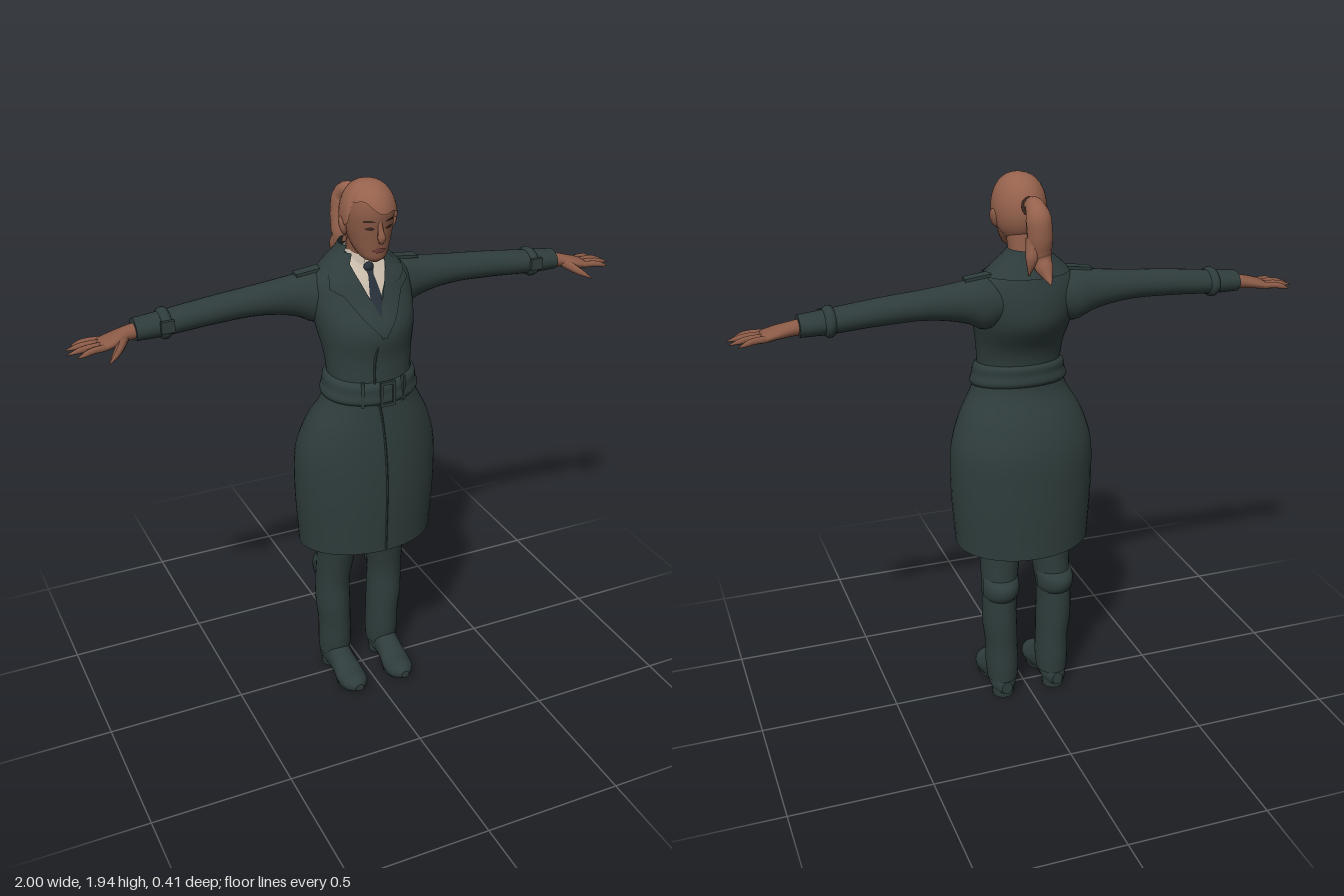
import * as THREE from 'three';

const mat = (name, color, side = THREE.DoubleSide) => new THREE.MeshStandardMaterial({ name, color, side });

// Smooth interpolation through sections [t, centreU, centreV, radiusU, radiusV]
function sampler(sections) {
  const it = new THREE.CubicInterpolant(sections.map(s => s[0]), sections.flatMap(s => s.slice(1)), 4, new Float32Array(4));
  return t => Array.from(it.evaluate(t));
}

const PLACE = {
  y: (t, u, v) => [v, t, u],
  x: (t, u, v) => [t, u, v],
  z: (t, u, v) => [u, v, t],
};

// Elliptical cross-sections joined along an axis, optionally only part way round
function loft(axis, sections, { steps = 24, sides = 28, start = 0, arc = Math.PI * 2, caps = false, rule } = {}) {
  const at = sampler(sections), t0 = sections[0][0], t1 = sections.at(-1)[0];
  const full = arc > 6.28, n = full ? sides : sides + 1, pos = [], idx = [];
  const put = (t, u, v) => {
    const p = new THREE.Vector3(...PLACE[axis](t, u, v));
    if (rule) rule(p);
    pos.push(p.x, p.y, p.z);
  };
  const ring = t => {
    const [cu, cv, ru, rv] = at(t);
    for (let j = 0; j < n; j++) {
      const a = start + arc * j / sides;
      put(t, cu + ru * Math.cos(a), cv + rv * Math.sin(a));
    }
  };
  for (let i = 0; i <= steps; i++) ring(t0 + (t1 - t0) * i / steps);
  for (let i = 0; i < steps; i++) for (let j = 0; j < sides; j++) {
    const k = (j + 1) % n, a = i * n + j, b = i * n + k;
    idx.push(a, b, b + n, a, b + n, a + n);
  }
  if (caps) [t0, t1].forEach((t, e) => {
    const base = pos.length / 3, [cu, cv] = at(t);
    ring(t);
    put(t, cu, cv);
    for (let j = 0; j < n; j++) {
      const a = base + j, b = base + (j + 1) % n;
      e ? idx.push(a, b, base + n) : idx.push(b, a, base + n);
    }
  });
  return build(pos, idx);
}

function build(pos, idx) {
  const g = new THREE.BufferGeometry();
  g.setAttribute('position', new THREE.Float32BufferAttribute(pos, 3));
  g.setIndex(idx);
  g.computeVertexNormals();
  return g;
}

// Tube whose thickness changes along its path
function sweep(points, radii, seg = 20, sides = 10) {
  const path = new THREE.CatmullRomCurve3(points.map(p => new THREE.Vector3(...p)));
  const g = new THREE.TubeGeometry(path, seg, 1, sides), p = g.attributes.position, v = new THREE.Vector3();
  for (let i = 0; i < p.count; i++) {
    const t = Math.floor(i / (sides + 1)) / seg, c = path.getPointAt(t);
    const f = t * (radii.length - 1), k = Math.min(Math.floor(f), radii.length - 2);
    const r = THREE.MathUtils.lerp(radii[k], radii[k + 1], f - k);
    v.fromBufferAttribute(p, i).sub(c).multiplyScalar(r).add(c);
    p.setXYZ(i, v.x, v.y, v.z);
  }
  g.computeVertexNormals();
  return g;
}

const COAT = [
  [0.62, 0.02, 0, 0.185, 0.246], [0.85, 0.0225, 0, 0.188, 0.26], [1.0, 0.025, 0, 0.18, 0.254],
  [1.1, 0.037, 0, 0.158, 0.222], [1.2, 0.055, 0, 0.125, 0.168], [1.27, 0.055, 0, 0.118, 0.15],
  [1.35, 0.045, 0, 0.122, 0.154], [1.46, 0.015, 0, 0.155, 0.172], [1.55, -0.015, 0, 0.125, 0.18],
  [1.61, -0.025, 0, 0.1, 0.165], [1.65, -0.033, 0, 0.08, 0.115], [1.69, -0.035, 0, 0.062, 0.07],
];
const coatAt = sampler(COAT);
const frontZ = (x, y) => {
  const [zc, , rz, rx] = coatAt(y);
  return zc + rz * Math.sqrt(Math.max(0, 1 - (x / rx) ** 2));
};

// Cloth piece laid on the coat front; rows are [y, x0, x1] from top to bottom
function patch(rows, off, surface = frontZ) {
  const pos = [], idx = [], cols = 6, sub = 4;
  const total = (rows.length - 1) * sub;
  for (let i = 0; i <= total; i++) {
    const k = Math.min(Math.floor(i / sub), rows.length - 2), f = i / sub - k;
    const [y, x0, x1] = rows[k].map((v, j) => THREE.MathUtils.lerp(v, rows[k + 1][j], f));
    for (let j = 0; j <= cols; j++) {
      const x = THREE.MathUtils.lerp(x0, x1, j / cols);
      pos.push(x, y, surface(x, y) + off);
    }
  }
  const w = cols + 1;
  for (let i = 0; i < total; i++) for (let j = 0; j < cols; j++) {
    const a = i * w + j;
    idx.push(a, a + w, a + 1, a + 1, a + w, a + w + 1);
  }
  return build(pos, idx);
}

export function createModel() {
  const cloth = mat('dark green cloth', 0x2e3c3b), skin = mat('skin', 0x8a5a46), hair = mat('brown hair', 0x96624d);
  const cream = mat('cream shirt', 0xcbbfae), tieM = mat('dark tie', 0x27303a), dark = mat('dark features', 0x3a2620), lip = mat('lips', 0x74423a);
  const model = new THREE.Group();
  const add = (name, geo, m, parent = model, at = [0, 0, 0], rot = [0, 0, 0], scale = [1, 1, 1]) => {
    const o = new THREE.Mesh(geo, m);
    o.name = name;
    o.position.set(...at); o.rotation.set(...rot); o.scale.set(...scale);
    parent.add(o);
    return o;
  };
  const box = (x, y, z) => new THREE.BoxGeometry(x, y, z);
  const ball = new THREE.SphereGeometry(1, 18, 12);

  // Coat body, front seam, belt and buckle
  add('coat', loft('y', COAT, { steps: 60, sides: 40, rule: p => { if (p.y < 0.8) p.y += (p.z - 0.05) * 0.07 * (0.8 - p.y) / 0.18; } }), cloth);
  const seam = [[0.0, 1.46], [-0.025, 1.38], [-0.03, 1.28], [-0.01, 1.15], [0, 0.95], [0, 0.64]];
  add('frontSeam', sweep(seam.map(([x, y]) => [x, y, frontZ(x, y)]), [0.004, 0.004], 40, 6), cloth);
  const tilt = p => { p.y += (0.17 - p.z) * 0.1; };
  const beltSection = (y, o) => { const [a, b, c, d] = coatAt(y); return [y, a, b, c + o, d + o]; };
  add('belt', loft('y', [beltSection(1.2, 0), beltSection(1.21, 0.01), beltSection(1.24, 0.011), beltSection(1.27, 0.01), beltSection(1.28, 0)], { steps: 16, sides: 40, rule: tilt }), cloth);
  const frame = new THREE.Shape([[-0.028, -0.045], [0.028, -0.045], [0.028, 0.045], [-0.028, 0.045]].map(p => new THREE.Vector2(...p)));
  frame.holes.push(new THREE.Path([[-0.018, -0.034], [-0.018, 0.034], [0.018, 0.034], [0.018, -0.034]].map(p => new THREE.Vector2(...p))));
  add('beltBuckle', new THREE.ExtrudeGeometry(frame, { depth: 0.01, bevelEnabled: false }), cloth, model, [0.01, 1.24, 0.183]);
  for (const x of [-0.075, 0.075]) add('beltLoop', box(0.012, 0.09, 0.012), cloth, model, [x, 1.243, frontZ(x, 1.24) + 0.01], [0, x * 6, 0]);

  // Shirt, tie and neck
  add('shirtFront', patch([[1.69, -0.055, 0.055], [1.65, -0.066, 0.066], [1.6, -0.045, 0.045], [1.53, -0.003, 0.003]], 0.004), cream);
  add('shirtCollar', loft('y', [[1.64, -0.02, 0, 0.072, 0.07], [1.67, -0.017, 0, 0.066, 0.064], [1.7, -0.014, 0, 0.058, 0.058]], { steps: 6, start: 0.18, arc: Math.PI * 2 - 0.36 }), cream);
  add('tie', patch([[1.655, -0.018, 0.018], [1.625, -0.01, 0.01], [1.57, -0.02, 0.02], [1.5, -0.02, 0.02]], 0.008), tieM);
  add('tieKnot', ball, tieM, model, [0, 1.645, 0.053], [0, 0, 0], [0.018, 0.018, 0.012]);
  add('neck', loft('y', [[1.6, -0.03, 0, 0.05, 0.05], [1.68, -0.008, 0, 0.052, 0.052], [1.78, 0.025, 0, 0.06, 0.056]]), skin);
  add('coatCollar', loft('y', [[1.625, -0.03, 0, 0.112, 0.15], [1.66, -0.032, 0, 0.09, 0.115], [1.69, -0.034, 0, 0.074, 0.08], [1.71, -0.034, 0, 0.068, 0.066]], { steps: 10, start: 1.0, arc: Math.PI * 2 - 2 }), cloth);

  // Head
  const HEAD = [
    [1.682, 0.1, 0, 0.012, 0.012], [1.692, 0.092, 0, 0.035, 0.034], [1.72, 0.072, 0, 0.06, 0.056], [1.76, 0.056, 0, 0.08, 0.071],
    [1.8, 0.05, 0, 0.09, 0.08], [1.86, 0.047, 0, 0.096, 0.082], [1.9, 0.045, 0, 0.08, 0.068], [1.925, 0.045, 0, 0.035, 0.03],
  ];
  add('head', loft('y', HEAD, { caps: true }), skin);
  const headAt = sampler(HEAD);
  const faceZ = (x, y) => { const [zc, , rz, rx] = headAt(y); return zc + rz * Math.sqrt(Math.max(0, 1 - (x / rx) ** 2)); };
  add('nose', sweep([[0, 1.825, 0.136], [0, 1.79, 0.147], [0, 1.766, 0.153], [0, 1.755, 0.138]], [0.007, 0.009, 0.014, 0.004], 12), skin);
  add('mouth', patch([[1.737, -0.008, 0.008], [1.729, -0.026, 0.026], [1.72, -0.01, 0.01]], 0.004, faceZ), lip);

  // Hair cap with a slanting fringe, lower at the back
  const capPos = [], capIdx = [], A = 40, R = 14;
  for (let i = 0; i <= R; i++) for (let j = 0; j < A; j++) {
    const a = j / A * Math.PI * 2, x = Math.sin(a), c = Math.cos(a);
    const fringe = 1.862 - 0.03 * x - 0.01 * Math.cos(a * 5);
    const low = c > 0.35 ? fringe : THREE.MathUtils.lerp(1.735, 1.815, THREE.MathUtils.smoothstep(c, -0.6, 0.35));
    const th = Math.acos(THREE.MathUtils.clamp((low - 1.825) / 0.115, -1, 1)) * i / R;
    const s = Math.sin(th) ** 0.85;
    capPos.push(0.092 * s * x, 1.825 + 0.115 * Math.cos(th), 0.047 + 0.11 * s * c);
  }
  for (let i = 0; i < R; i++) for (let j = 0; j < A; j++) {
    const a = i * A + j, b = i * A + (j + 1) % A;
    capIdx.push(a, a + A, b, b, a + A, b + A);
  }
  add('hairCap', build(capPos, capIdx), hair);
  add('ponytail', sweep([[0, 1.835, -0.05], [0, 1.86, -0.1], [0, 1.835, -0.14], [-0.005, 1.77, -0.145], [-0.01, 1.7, -0.135], [-0.02, 1.655, -0.165], [-0.025, 1.62, -0.2]], [0.022, 0.03, 0.042, 0.042, 0.04, 0.028, 0.002], 36, 14), hair);
  add('ponytailLock', sweep([[0.01, 1.76, -0.14], [0.025, 1.69, -0.15], [0.03, 1.64, -0.14]], [0.03, 0.022, 0.002]), hair);
  add('hairTie', new THREE.TorusGeometry(0.026, 0.008, 8, 18), dark, model, [0, 1.85, -0.075], [0.4, 0, 0]);

  // Everything paired, built on the left and mirrored
  for (const side of [1, -1]) {
    const half = new THREE.Group();
    half.name = side > 0 ? 'leftSide' : 'rightSide';
    half.scale.x = side;
    model.add(half);

    add('ear', ball, skin, half, [0.086, 1.795, 0.04], [0, 0.4, -0.25], [0.012, 0.032, 0.022]);
    add('eye', patch([[1.81, 0.028, 0.036], [1.804, 0.018, 0.05], [1.799, 0.026, 0.04]], 0.003, faceZ), dark, half);
    add('eyebrow', patch([[1.832, 0.03, 0.05], [1.825, 0.014, 0.055]], 0.003, faceZ), dark, half);
    add('lapel', patch([[1.63, 0.052, 0.13], [1.59, 0.036, 0.142], [1.57, 0.028, 0.105], [1.5, -0.002, 0.058], [1.44, -0.012, 0.004]], 0.012), cloth, half);
    add('collarFront', patch([[1.69, 0.048, 0.066], [1.66, 0.062, 0.1], [1.62, 0.05, 0.138], [1.595, 0.05, 0.1]], 0.016), cloth, half);
    add('shoulderStrap', box(0.09, 0.01, 0.04), cloth, half, [0.178, 1.626, -0.045], [0, 0, -0.12]);

    // Arm with strapped cuff
    const ARM = [
      [0.08, 1.54, -0.03, 0.07, 0.08], [0.16, 1.535, -0.045, 0.09, 0.075], [0.22, 1.545, -0.05, 0.072, 0.064], [0.35, 1.55, -0.052, 0.052, 0.054],
      [0.5, 1.543, -0.05, 0.046, 0.05], [0.7, 1.526, -0.048, 0.04, 0.05], [0.775, 1.522, -0.048, 0.036, 0.046],
    ];
    add('sleeve', loft('x', ARM, { steps: 36, caps: true }), cloth, half);
    const armAt = sampler(ARM);
    const band = (x, o) => { const [a, b, c, d] = armAt(x); return [x, a, b, c + o, d + o]; };
    add('cuffStrap', loft('x', [band(0.66, 0), band(0.664, 0.006), band(0.69, 0.006), band(0.694, 0)], { steps: 8 }), cloth, half);
    add('cuffBuckle', box(0.045, 0.04, 0.012), cloth, half, [0.678, 1.535, 0.008]);

    // Hand
    add('palm', loft('x', [[0.76, 1.52, -0.045, 0.026, 0.03], [0.8, 1.515, -0.045, 0.024, 0.032], [0.85, 1.505, -0.036, 0.02, 0.046], [0.89, 1.496, -0.035, 0.015, 0.045], [0.905, 1.494, -0.035, 0.006, 0.036]], { steps: 14, sides: 18, caps: true }), skin, half);
    for (const [z0, z1, tip] of [[-0.07, -0.088, 0.972], [-0.047, -0.055, 0.997], [-0.023, -0.018, 1.0], [0.0, 0.017, 0.975]])
      add('finger', sweep([[0.88, 1.498, z0], [(0.88 + tip) / 2, 1.497, (z0 + z1) / 2], [tip - 0.01, 1.488, z1], [tip, 1.485, z1]], [0.012, 0.0115, 0.01, 0.001], 14, 8), skin, half);
    add('thumb', sweep([[0.815, 1.508, -0.025], [0.845, 1.488, 0.018], [0.875, 1.47, 0.046], [0.886, 1.463, 0.055]], [0.018, 0.016, 0.011, 0.001], 14, 8), skin, half);

    // Trouser leg, band behind the knee, shoe
    add('trouserLeg', loft('y', [
      [0.07, -0.04, 0.098, 0.064, 0.056], [0.12, -0.037, 0.098, 0.07, 0.06], [0.22, -0.034, 0.1, 0.073, 0.059], [0.3, -0.034, 0.105, 0.077, 0.063],
      [0.41, -0.032, 0.106, 0.076, 0.062], [0.5, -0.02, 0.1, 0.08, 0.067], [0.62, -0.005, 0.092, 0.095, 0.074], [0.75, 0, 0.09, 0.1, 0.076],
    ], { steps: 32, caps: true }), cloth, half);
    add('kneeBand', loft('y', [[0.415, -0.035, 0.105, 0.074, 0.06], [0.43, -0.037, 0.105, 0.084, 0.067], [0.475, -0.035, 0.104, 0.088, 0.068], [0.495, -0.025, 0.102, 0.076, 0.064]], { steps: 10, start: 1.7, arc: 2.9 }), cloth, half);
    add('shoe', loft('z', [
      [-0.105, 0.1, 0.045, 0.02, 0.025], [-0.07, 0.1, 0.055, 0.045, 0.05], [0, 0.1, 0.065, 0.046, 0.065], [0.05, 0.098, 0.054, 0.048, 0.053],
      [0.11, 0.096, 0.036, 0.054, 0.04], [0.16, 0.095, 0.034, 0.044, 0.034], [0.19, 0.095, 0.036, 0.016, 0.014],
    ], { steps: 26, caps: true, rule: p => { p.y = Math.max(p.y, 0.012); } }), cloth, half);
    add('heel', new THREE.CylinderGeometry(0.042, 0.04, 0.03, 20), cloth, half, [0.1, 0.015, -0.055]);
    add('sole', new THREE.CylinderGeometry(0.05, 0.046, 0.016, 24), cloth, half, [0.096, 0.01, 0.1], [0, 0, 0], [1, 1, 1.35]);
  }
  return model;
}
